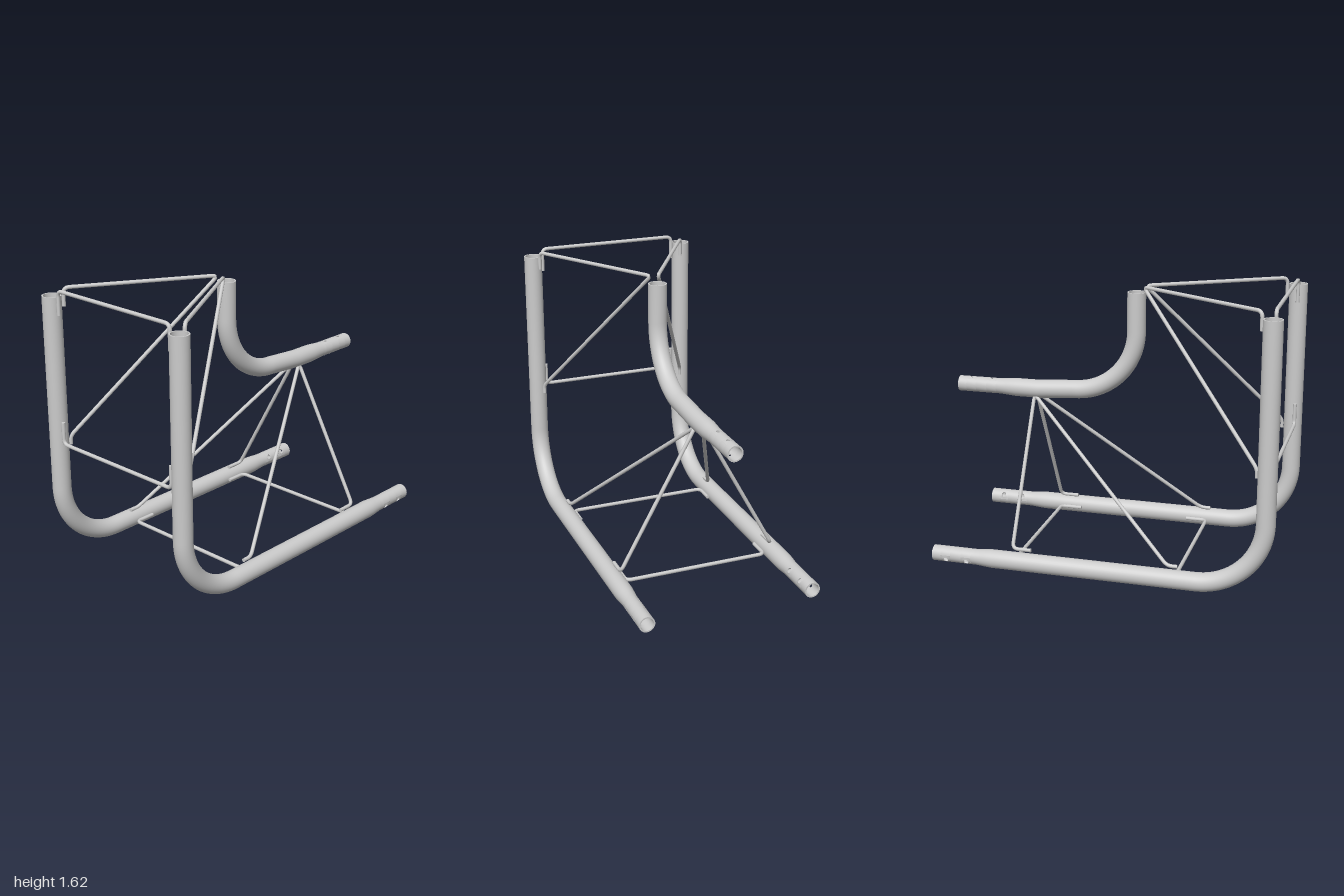
import * as THREE from 'three';
import { mergeGeometries, toCreasedNormals } from 'three/addons/utils/BufferGeometryUtils.js';
import { ParametricGeometry } from 'three/addons/geometries/ParametricGeometry.js';

const material = new THREE.MeshStandardMaterial({ color: 0xcccccc, side: THREE.DoubleSide });
const R = 0.054, R_TAIL = 0.046, WALL = 0.008, ROD = 0.011;
const TAIL_START = -0.735, TAIL_END = -1, HOLES = [-0.79, -0.917], HOLE_R = 0.015, PATCH = 0.03;
const TAU = Math.PI * 2;

// Stations of a chord: straight upright, quarter bend, then a straight run that tapers into the tail
function chordStations(z, bend, yBend, yRun, top) {
  const st = [{ y: top, z, r: R }];
  const cy = yBend + bend, cz = z - bend;
  for (let i = 0; i <= 24; i++) {
    const a = (i / 24) * Math.PI / 2;
    st.push({ y: cy - bend * Math.sin(a), z: cz + bend * Math.cos(a), r: R });
  }
  st.push({ y: yRun, z: -0.5, r: R }, { y: yRun, z: -0.64, r: R },
    { y: yRun, z: -0.69, r: 0.05 }, { y: yRun, z: TAIL_START, r: R_TAIL });
  // sideways direction of each cross-section
  st.forEach((s, i) => {
    const a = st[Math.max(i - 1, 0)], b = st[Math.min(i + 1, st.length - 1)];
    const l = Math.hypot(b.y - a.y, b.z - a.z);
    s.ny = -(b.z - a.z) / l;
    s.nz = (b.y - a.y) / l;
  });
  Object.assign(st[0], { ny: 0, nz: -1 });
  Object.assign(st[st.length - 1], { ny: 1, nz: 0 });
  return st;
}

// Hollow chord; the tail has two pairs of pin holes drilled through along holeAngle
function chord(name, x, stations, holeAngle) {
  const parts = [];
  const patch = (f, slices, stacks) => parts.push(new ParametricGeometry(f, slices, stacks));

  // inner wall, top rim and outer wall in one sweep
  const loop = [...stations.map(s => ({ ...s, r: s.r - WALL })).reverse(), ...stations];
  patch((u, v, t) => {
    const s = loop[Math.round(v * (loop.length - 1))];
    const c = Math.cos(u * TAU) * s.r, n = Math.sin(u * TAU) * s.r;
    t.set(x + c, s.y + n * s.ny, s.z + n * s.nz);
  }, 32, loop.length - 1);

  // tail
  const y = stations[stations.length - 1].y;
  const onTail = (t, a, z, r) => t.set(x + Math.cos(a) * r, y + Math.sin(a) * r, z);
  const w = PATCH / R_TAIL;
  const plain = (a0, a1, z0, z1, segs) => {
    for (const r of [R_TAIL, R_TAIL - WALL])
      patch((u, v, t) => onTail(t, a0 + (a1 - a0) * u, z0 + (z1 - z0) * v, r), segs, 1);
  };
  let z0 = TAIL_START;
  for (const hz of HOLES) {
    plain(0, TAU, z0, hz + PATCH, 32);
    z0 = hz - PATCH;
    for (const a of [holeAngle, holeAngle + Math.PI]) {
      plain(a + w, a + Math.PI - w, hz + PATCH, z0, 10);
      // outer square, outer hole edge, inner hole edge, inner square
      patch((u, v, t) => {
        const k = Math.round(v * 3), c = Math.cos(u * TAU), s = Math.sin(u * TAU);
        const d = k === 0 || k === 3 ? PATCH / Math.max(Math.abs(c), Math.abs(s)) : HOLE_R;
        onTail(t, a + c * d / R_TAIL, hz + s * d, k < 2 ? R_TAIL : R_TAIL - WALL);
      }, 24, 3);
    }
  }
  plain(0, TAU, z0, TAIL_END, 32);
  patch((u, v, t) => onTail(t, u * TAU, TAIL_END, R_TAIL - WALL * v), 32, 1);

  // enlarged while creasing so that close vertices stay apart
  const merged = mergeGeometries(parts).scale(50, 50, 50);
  const geometry = toCreasedNormals(merged, 0.6).scale(0.02, 0.02, 0.02);
  const mesh = new THREE.Mesh(geometry, material);
  mesh.name = name;
  return mesh;
}

// Bent round rod through the given points with rounded corners and closed ends
function rod(name, points, bend = 0.035) {
  const p = points.map(q => new THREE.Vector3(...q));
  const path = new THREE.CurvePath();
  let from = p[0];
  for (let i = 1; i < p.length - 1; i++) {
    const toward = q => p[i].clone().add(q.clone().sub(p[i]).setLength(Math.min(bend, q.distanceTo(p[i]) * 0.45)));
    const a = toward(p[i - 1]), b = toward(p[i + 1]);
    path.add(new THREE.LineCurve3(from, a));
    path.add(new THREE.QuadraticBezierCurve3(a, p[i], b));
    from = b;
  }
  path.add(new THREE.LineCurve3(from, p[p.length - 1]));
  const parts = [new THREE.TubeGeometry(path, 220, ROD, 10, false)];
  for (const [end, next] of [[p[0], p[1]], [p[p.length - 1], p[p.length - 2]]]) {
    const cap = new THREE.CircleGeometry(ROD, 10);
    const dir = end.clone().sub(next).normalize();
    cap.applyQuaternion(new THREE.Quaternion().setFromUnitVectors(new THREE.Vector3(0, 0, 1), dir));
    parts.push(cap.translate(end.x, end.y, end.z));
  }
  const mesh = new THREE.Mesh(mergeGeometries(parts), material);
  mesh.name = name;
  return mesh;
}

// U-shaped tie between the two lower chords
function tie(name, corner, tip) {
  return rod(name, [[-0.428, ...tip], [-0.428, ...corner], [0.428, ...corner], [0.428, ...tip]]);
}

export function createModel() {
  const group = new THREE.Group();

  // chords
  const lower = chordStations(0.947, 0.385, 0.058, 0.058, 1.575);
  const upper = chordStations(0.094, 0.375, 0.975, 0.96, 1.575);
  group.add(chord('upperChord', 0, upper, Math.PI / 2));
  group.add(chord('leftLowerChord', 0.49, lower, Math.PI * 5 / 6));
  group.add(chord('rightLowerChord', -0.49, lower, Math.PI / 6));

  // ties between the lower chords
  group.add(tie('topFrontTie', [1.612, 0.952], [1.475, 0.952]));
  group.add(tie('lowerFrontTie', [0.727, 0.963], [0.857, 0.963]));
  group.add(tie('frontBottomTie', [0.055, 0.438], [0.055, 0.31]));
  group.add(tie('rearBottomTie', [0.055, -0.513], [0.055, -0.38]));

  // lacing from each lower chord to the upper chord
  for (const [side, s] of [['left', 1], ['right', -1]]) {
    group.add(rod(side + 'UprightLacing', [
      [s * 0.465, 1.505, 0.885], [s * 0.465, 1.61, 0.885], [s * 0.022, 1.61, 0.14],
      [s * 0.465, 0.745, 0.885], [s * 0.465, 0.695, 0.885]]));
    group.add(rod(side + 'RearLacing', [
      [s * 0.465, 0.124, -0.41], [s * 0.465, 0.124, -0.523], [s * 0.022, 0.93, -0.523],
      [s * 0.465, 0.124, 0.395], [s * 0.465, 0.124, 0.455]]));
  }
  return group;
}
